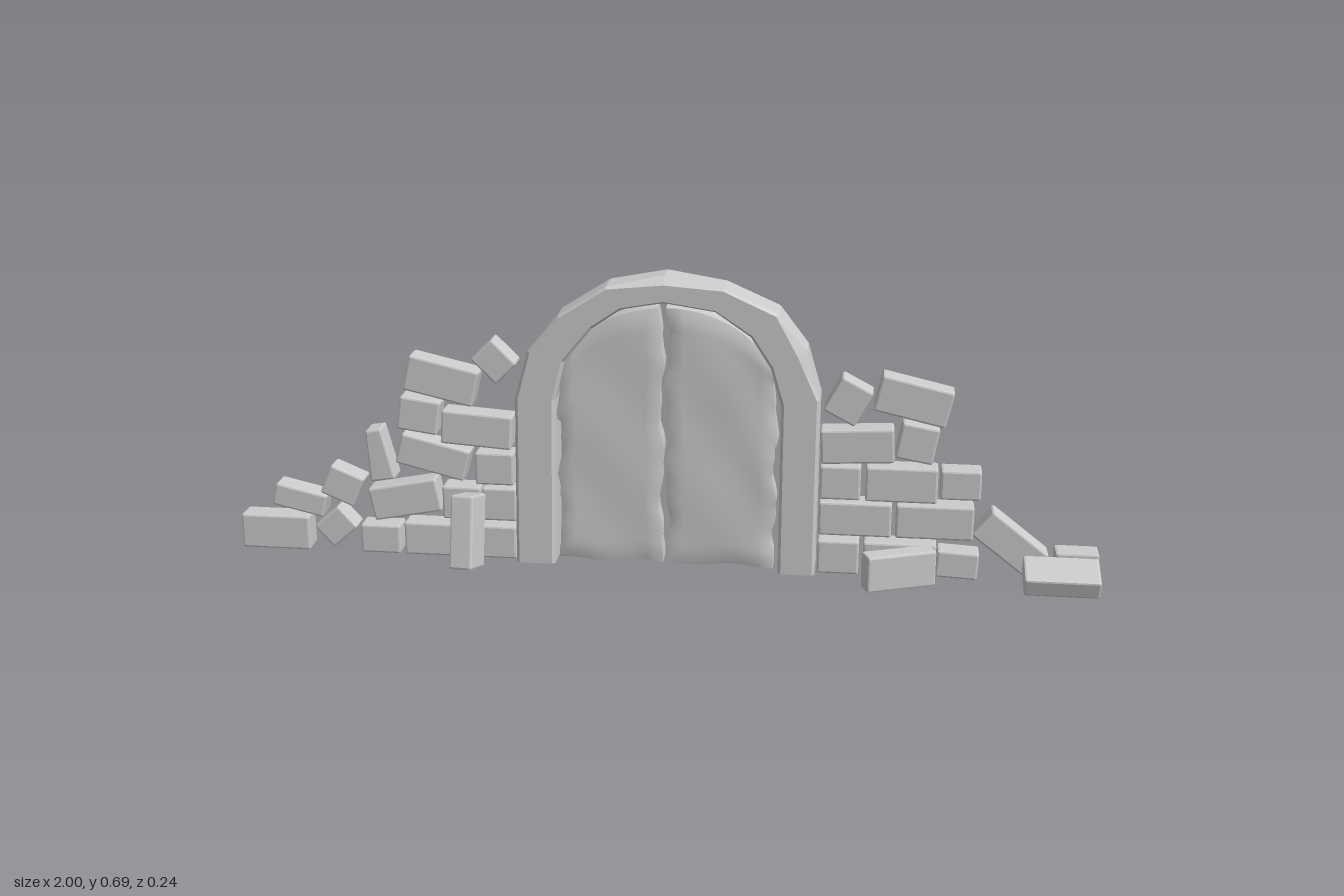
import * as THREE from 'three';
import { RoundedBoxGeometry } from 'three/addons/geometries/RoundedBoxGeometry.js';

const stone = new THREE.MeshStandardMaterial({ color: 0xcccccc, flatShading: true });
const wood = new THREE.MeshStandardMaterial({ color: 0xcccccc });
const rad = THREE.MathUtils.degToRad;
const WALL_Z = -0.044, THICK = 0.058;

// One bevelled brick; taper narrows its top
function brick(name, [x, y, z], [w, h, d], [rx, ry, rz], taper = 0) {
  const geo = new RoundedBoxGeometry(w, h, d, 1, 0.005);
  const p = geo.attributes.position;
  for (let i = 0; i < p.count; i++) p.setX(i, p.getX(i) * (1 - taper * (p.getY(i) / h + 0.5)));
  geo.computeVertexNormals();
  const mesh = new THREE.Mesh(geo, stone);
  mesh.name = name;
  mesh.position.set(x, y, z);
  mesh.rotation.set(rad(rx), rad(ry), rad(rz));
  return mesh;
}

// Wall bricks: centre x, centre y, width, height, tilt in degrees, taper
const rightWall = [
  [-0.918, 0.042, 0.165, 0.084, 0], [-0.855, 0.125, 0.125, 0.055, -13],
  [-0.75, 0.165, 0.085, 0.075, -23], [-0.77, 0.062, 0.08, 0.068, 42],
  [-0.663, 0.036, 0.095, 0.07, 0], [-0.60, 0.137, 0.165, 0.08, 11],
  [-0.66, 0.245, 0.06, 0.125, 9, 0.4], [-0.522, 0.041, 0.165, 0.08, 0],
  [-0.53, 0.245, 0.165, 0.075, -14], [-0.56, 0.345, 0.095, 0.08, -8],
  [-0.505, 0.43, 0.165, 0.085, -13], [-0.38, 0.48, 0.08, 0.07, -45],
  [-0.425, 0.315, 0.165, 0.08, -4], [-0.385, 0.222, 0.09, 0.078, 0],
  [-0.465, 0.135, 0.09, 0.08, 0], [-0.375, 0.135, 0.08, 0.08, 0],
  [-0.385, 0.041, 0.095, 0.08, 0],
];
const leftWall = [
  [0.412, 0.041, 0.095, 0.08, 0], [0.552, 0.041, 0.165, 0.08, 0], [0.683, 0.034, 0.095, 0.064, -3],
  [0.448, 0.135, 0.165, 0.08, 0], [0.628, 0.135, 0.175, 0.08, 0],
  [0.412, 0.222, 0.092, 0.08, 0], [0.55, 0.222, 0.162, 0.082, 0],
  [0.448, 0.31, 0.165, 0.08, 3], [0.582, 0.322, 0.085, 0.085, -10],
  [0.57, 0.42, 0.165, 0.085, -13], [0.425, 0.415, 0.08, 0.09, -28],
  [0.80, 0.088, 0.165, 0.075, -38], [0.95, 0.038, 0.098, 0.076, 0],
];

function wall(name, rows) {
  const group = new THREE.Group();
  group.name = name;
  rows.forEach(([x, y, w, h, tilt, taper], i) =>
    group.add(brick(`${name}Brick${i + 1}`, [x, y, WALL_Z], [w, h, THICK], [0, 0, tilt], taper)));
  return group;
}

// Arch: an eight-sided section swept between outer and inner outlines
function arch() {
  const outer = [[-0.335, 0], [-0.33, 0.4], [-0.30, 0.51], [-0.23, 0.595], [-0.12, 0.665], [0.01, 0.69],
    [0.145, 0.668], [0.265, 0.615], [0.33, 0.53], [0.362, 0.42], [0.36, 0]];
  const inner = [[-0.243, 0], [-0.237, 0.4], [-0.215, 0.49], [-0.15, 0.57], [-0.085, 0.615], [0.01, 0.632],
    [0.125, 0.615], [0.205, 0.56], [0.25, 0.49], [0.275, 0.405], [0.275, 0]];
  const chips = { 5: [0.036, 0.28], 8: [0.018, 0.25] };
  const rings = outer.map(([ox, oy], i) => {
    const [chipZ, chipS] = chips[i] || [0.008, 0.08];
    const section = [[0, -chipZ], [0, -0.089], [0.08, -0.097], [0.92, -0.097],
      [1, -0.089], [1, -0.008], [0.92, 0], [chipS, 0]];
    return section.map(([s, z]) =>
      [ox + (inner[i][0] - ox) * s, oy + (inner[i][1] - oy) * s, z]);
  });
  const pos = [];
  const tri = (...pts) => pts.forEach((p) => pos.push(...p));
  for (let i = 0; i < rings.length - 1; i++) {
    for (let j = 0; j < 8; j++) {
      const k = (j + 1) % 8, A = rings[i], B = rings[i + 1];
      tri(A[j], B[j], B[k]);
      tri(A[j], B[k], A[k]);
    }
  }
  // Feet
  const first = rings[0], last = rings[rings.length - 1];
  for (let j = 1; j < 7; j++) {
    tri(first[0], first[j], first[j + 1]);
    tri(last[0], last[j + 1], last[j]);
  }
  const geo = new THREE.BufferGeometry();
  geo.setAttribute('position', new THREE.Float32BufferAttribute(pos, 3));
  geo.computeVertexNormals();
  const mesh = new THREE.Mesh(geo, stone);
  mesh.name = 'stoneArch';
  return mesh;
}

// Door leaf: a grid box bent to the arch, with worn edges and a gently uneven face
function door(name, x0, x1, phase) {
  const geo = new THREE.BoxGeometry(1, 1, 1, 14, 24, 1);
  const p = geo.attributes.position;
  for (let i = 0; i < p.count; i++) {
    const u = p.getX(i) + 0.5, v = p.getY(i) + 0.5, side = Math.sign(p.getZ(i));
    const wear = 0.005 * Math.sin(v * 17 + phase) + 0.003 * Math.sin(v * 41 + phase * 2);
    const x = x0 + (x1 - x0) * u + wear * (2 * u - 1);
    const dx = Math.min(1, Math.abs(x - 0.015) / 0.262);
    const top = 0.395 + 0.222 * Math.sqrt(1 - dx * dx);
    const bottom = 0.008 + 0.004 * Math.sin(u * 9 + phase);
    const edge = u < 0.01 || u > 0.99 || v < 0.01 || v > 0.99 ? 0.006 : 0;
    const bump = 0.003 * Math.sin(u * 6 + phase) * Math.sin(v * 11 + phase);
    p.setXYZ(i, x, bottom + (top - bottom) * v, -0.048 + side * (0.03 - edge) + bump);
  }
  geo.computeVertexNormals();
  const mesh = new THREE.Mesh(geo, wood);
  mesh.name = name;
  return mesh;
}

export function createModel() {
  const model = new THREE.Group();
  model.name = 'ruinedGate';
  model.add(arch(), door('rightDoor', -0.23, 0.002, 0.6), door('leftDoor', 0.018, 0.262, 2.2));
  model.add(wall('rightWall', rightWall), wall('leftWall', leftWall));

  // Loose bricks around the wall
  model.add(
    brick('leaningBrick', [-0.435, 0.097, 0.06], [0.055, 0.17, 0.082], [-14, -10, 0]),
    brick('fallenBrick', [0.55, 0.043, 0.038], [0.165, 0.085, 0.046], [0, 22, 0]),
    brick('tiltedBrick', [0.912, 0.039, 0.034], [0.168, 0.045, 0.09], [17.5, 0, 0]),
    brick('backBrick', [0.685, 0.21, -0.091], [0.092, 0.07, THICK], [0, 0, 0]),
  );
  return model;
}
